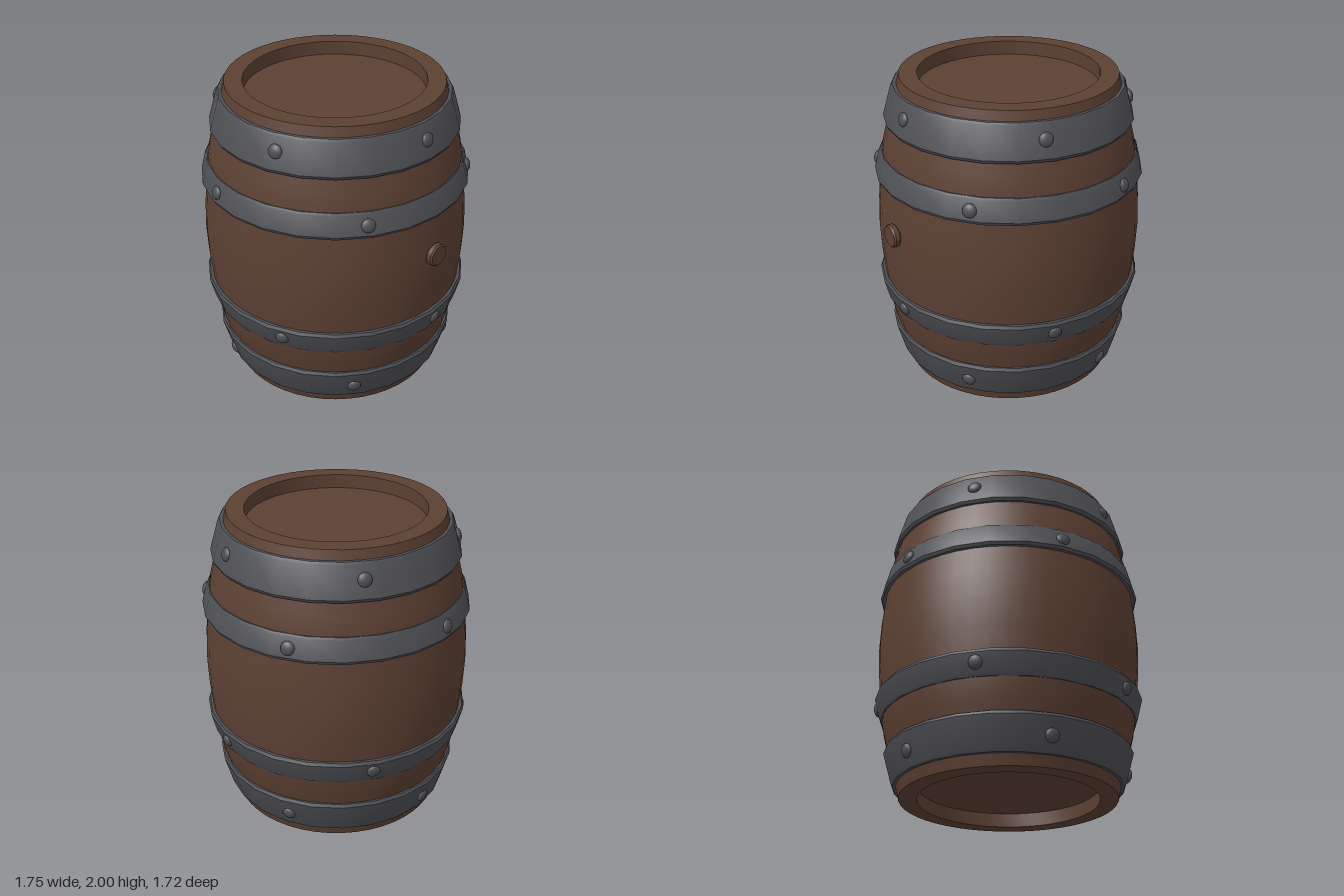
import * as THREE from 'three';
import { toCreasedNormals } from 'three/addons/utils/BufferGeometryUtils.js';

const wood = new THREE.MeshStandardMaterial({ color: 0x5c4033 });
wood.name = 'brown wood';
const iron = new THREE.MeshStandardMaterial({ color: 0x4e4f54 });
iron.name = 'grey iron';

// Revolved part from [radius, height] pairs, with hard edges kept sharp
function lathe(name, points, sides, material, crease = 0.45) {
  const profile = points.map(([r, y]) => new THREE.Vector2(r, y));
  const mesh = new THREE.Mesh(toCreasedNormals(new THREE.LatheGeometry(profile, sides), crease), material);
  mesh.name = name;
  return mesh;
}

export function createModel() {
  const barrel = new THREE.Group();
  barrel.name = 'barrel';
  barrel.position.x = -0.015;

  // Bulging body with a recessed head at each end
  const bulge = new THREE.SplineCurve([
    [0.685, 0], [0.765, 0.3], [0.812, 0.52], [0.852, 1], [0.812, 1.48], [0.765, 1.7], [0.685, 2],
  ].map(([r, y]) => new THREE.Vector2(r, y)));
  const side = bulge.getPoints(18).map((p) => [p.x, p.y]);
  barrel.add(lathe('body', [
    [0, 0.09], [0.57, 0.09], [0.57, 0], ...side, [0.57, 2], [0.57, 1.91], [0, 1.91],
  ], 48, wood));

  // Hoops: edge heights nearest the barrel's middle and end, radii, rivet ring
  const hoops = [
    { name: 'topHoop', wideY: 1.71, narrowY: 1.94, wide: 0.79, narrow: 0.735, rivetY: 1.84, start: 0 },
    { name: 'upperHoop', wideY: 1.35, narrowY: 1.51, wide: 0.86, narrow: 0.828, rivetY: 1.43, start: 32 },
    { name: 'lowerHoop', wideY: 0.66, narrowY: 0.5, wide: 0.86, narrow: 0.828, rivetY: 0.58, start: 68.5 },
    { name: 'bottomHoop', wideY: 0.3, narrowY: 0.07, wide: 0.79, narrow: 0.735, rivetY: 0.17, start: 36 },
  ];
  const rivetGeometry = new THREE.SphereGeometry(0.044, 16, 12).scale(0.5, 1, 1);

  for (const h of hoops) {
    const group = new THREE.Group();
    group.name = h.name;
    const dir = Math.sign(h.narrowY - h.wideY);
    const profile = [
      [h.wide - 0.05, h.wideY],
      [h.wide - 0.01, h.wideY],
      [h.wide, h.wideY + dir * 0.02],
      [h.narrow, h.narrowY - dir * 0.015],
      [h.narrow - 0.01, h.narrowY],
      [h.narrow - 0.05, h.narrowY],
    ];
    if (dir < 0) profile.reverse();
    group.add(lathe(h.name + 'Band', profile, 24, iron));

    // Five domed rivets facing out along the sloping band
    const t = (h.rivetY - h.wideY) / (h.narrowY - h.wideY);
    const radius = THREE.MathUtils.lerp(h.wide, h.narrow, t) - 0.003;
    const tilt = Math.atan2(h.wide - h.narrow, h.narrowY - h.wideY - dir * 0.035);
    const lean = dir > 0 ? tilt : tilt - Math.PI;
    for (let i = 0; i < 5; i++) {
      const angle = THREE.MathUtils.degToRad(h.start + i * 72);
      const rivet = new THREE.Mesh(rivetGeometry, iron);
      rivet.name = 'rivet';
      rivet.position.set(radius * Math.cos(angle), h.rivetY, radius * Math.sin(angle));
      rivet.rotation.set(0, -angle, lean);
      group.add(rivet);
    }
    barrel.add(group);
  }

  // Chamfered bung plug on the left side
  const bung = lathe('bung', [
    [0.06, 0], [0.06, 0.04], [0.073, 0.052], [0.073, 0.08], [0.064, 0.09], [0, 0.09],
  ], 24, wood);
  bung.position.set(0.802, 1.095, 0);
  bung.rotation.z = -Math.PI / 2;
  barrel.add(bung);

  const model = new THREE.Group();
  model.name = 'model';
  model.add(barrel);
  return model;
}
